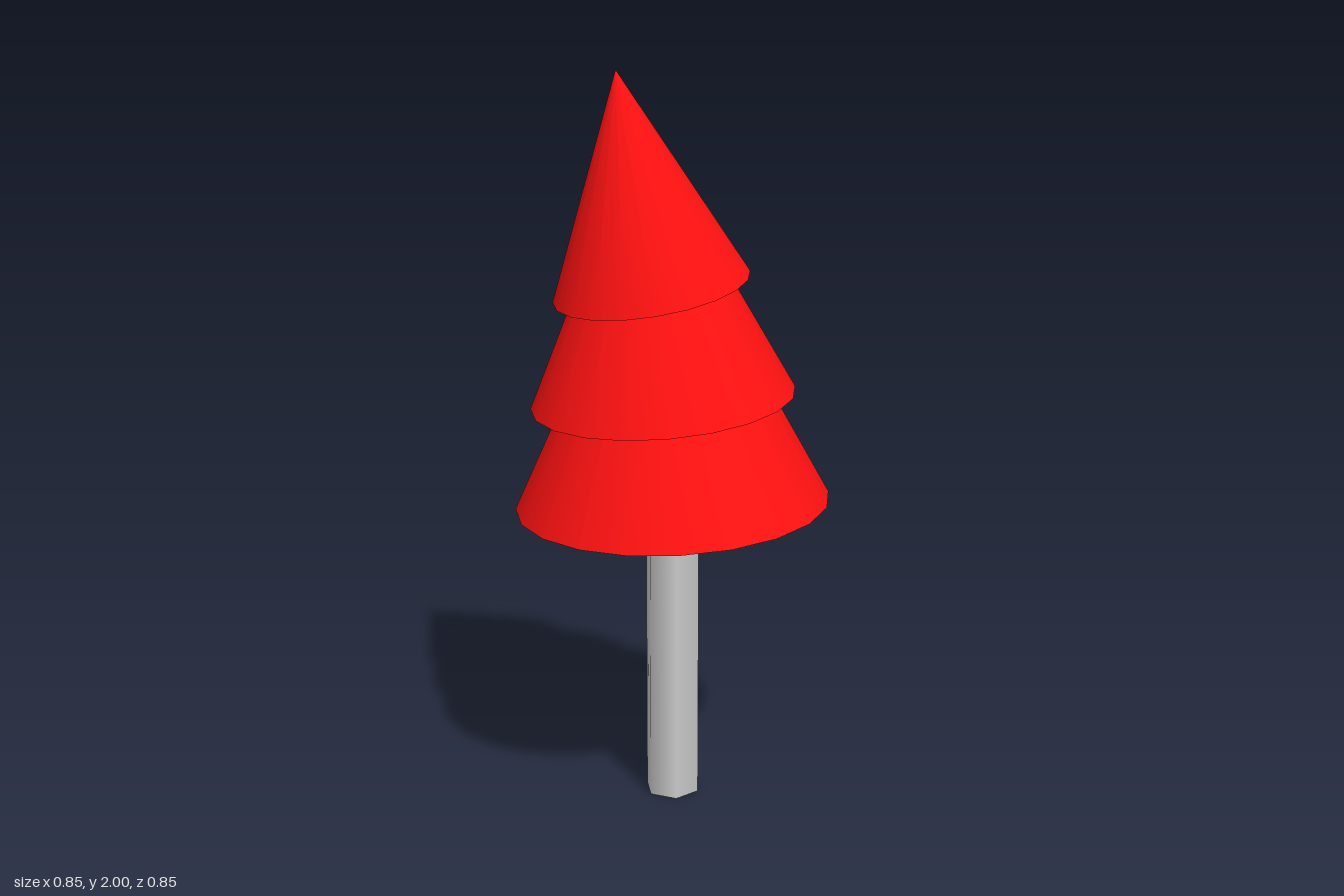
import * as THREE from 'three';

export function createModel() {
  const tree = new THREE.Group();
  tree.name = 'tree';
  const bark = new THREE.MeshStandardMaterial({ color: 0xcccccc });
  const foliage = new THREE.MeshStandardMaterial({ color: 0xff1111 });

  // Hexagonal trunk with corners on the x axis, running up into the lowest tier
  const trunkHeight = 0.9;
  const trunk = new THREE.Mesh(new THREE.CylinderGeometry(0.077, 0.077, trunkHeight, 6), bark);
  trunk.name = 'trunk';
  trunk.rotation.y = Math.PI / 6;
  trunk.position.y = trunkHeight / 2;
  tree.add(trunk);

  // Stacked cones, each leaning further towards -x; x and y are the base centre
  const tiers = [
    { name: 'lowerTier', x: 0, y: 0.852, radius: 0.425, height: 0.845, lean: 0.056 },
    { name: 'middleTier', x: -0.032, y: 1.143, radius: 0.353, height: 0.73, lean: 0.098 },
    { name: 'upperTier', x: -0.07, y: 1.445, radius: 0.26, height: 0.566, lean: 0.195 },
  ];
  for (const { name, x, y, radius, height, lean } of tiers) {
    const geometry = new THREE.ConeGeometry(radius, height, 20).translate(0, height / 2, 0);
    const tier = new THREE.Mesh(geometry, foliage);
    tier.name = name;
    tier.position.set(x, y, 0);
    tier.rotation.z = lean;
    tree.add(tier);
  }
  return tree;
}
